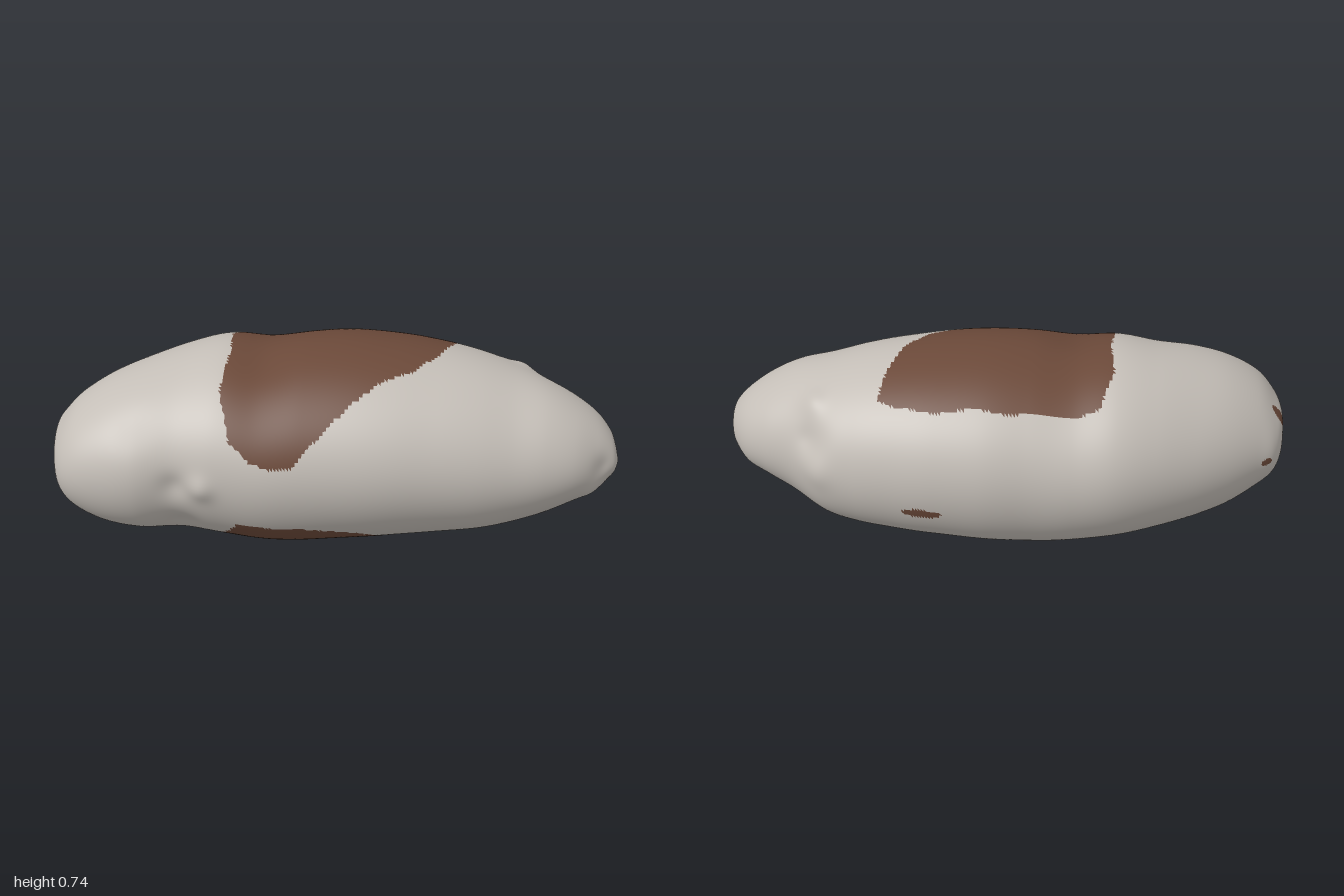
import * as THREE from 'three';

// Cross-sections along the length: x, top y, bottom y, back z, front z
const SECTIONS = [
  [-1, 0.345, 0.345, 0.11, 0.11],
  [-0.99, 0.43, 0.26, 0.01, 0.21],
  [-0.96, 0.48, 0.20, -0.06, 0.31],
  [-0.9, 0.545, 0.145, -0.11, 0.37],
  [-0.8, 0.605, 0.09, -0.185, 0.405],
  [-0.68, 0.65, 0.06, -0.26, 0.417],
  [-0.54, 0.69, 0.045, -0.33, 0.395],
  [-0.4, 0.717, 0.022, -0.38, 0.408],
  [-0.25, 0.71, 0.005, -0.40, 0.412],
  [-0.1, 0.73, 0, -0.41, 0.405],
  [0.06, 0.735, 0.008, -0.427, 0.39],
  [0.22, 0.727, 0.025, -0.42, 0.37],
  [0.36, 0.705, 0.035, -0.40, 0.345],
  [0.5, 0.675, 0.05, -0.375, 0.315],
  [0.62, 0.64, 0.08, -0.335, 0.285],
  [0.74, 0.60, 0.13, -0.25, 0.255],
  [0.84, 0.55, 0.18, -0.2, 0.215],
  [0.92, 0.495, 0.22, -0.145, 0.16],
  [0.97, 0.44, 0.275, -0.075, 0.115],
  [0.99, 0.395, 0.31, -0.01, 0.09],
  [1, 0.35, 0.35, 0.055, 0.055],
];

// Local bumps and dents: x, y, z, radius, height
const BUMPS = [
  [-0.44, 0.36, 0.41, 0.045, 0.018],
  [-0.53, 0.36, 0.39, 0.05, -0.015],
  [-0.52, 0.17, 0.32, 0.07, -0.015],
  [-0.66, 0.52, 0.33, 0.08, -0.008],
  [0.65, 0.57, -0.18, 0.045, 0.015],
  [0.66, 0.48, -0.27, 0.06, -0.02],
  [0.64, 0.38, -0.33, 0.06, 0.012],
  [0.93, 0.37, 0.13, 0.04, -0.014],
  [0.9, 0.28, 0.13, 0.04, 0.01],
  [-0.25, 0.71, 0.1, 0.1, -0.006],
];

// Outlines of the large patches in plan: x, z pairs
const TOP_PATCH = [
  [-0.385, -0.11], [-0.34, -0.24], [-0.26, -0.27], [-0.13, -0.275], [-0.02, -0.295], [0.085, -0.285],
  [0.22, -0.3], [0.37, -0.265], [0.42, -0.24], [0.41, -0.16], [0.355, 0], [0.275, 0.11], [0.165, 0.175],
  [0.06, 0.265], [-0.02, 0.335], [-0.12, 0.393], [-0.2, 0.4], [-0.27, 0.393], [-0.34, 0.365],
  [-0.385, 0.24], [-0.37, 0.05],
];
const BOTTOM_PATCH = [
  [-0.39, 0.27], [-0.38, 0.1], [-0.35, -0.12], [-0.28, -0.2], [-0.15, -0.25], [0, -0.27], [0.15, -0.25],
  [0.28, -0.16], [0.32, -0.05], [0.27, 0.1], [0.2, 0.22], [0.1, 0.295], [0, 0.325], [-0.1, 0.35],
  [-0.25, 0.368], [-0.32, 0.365], [-0.36, 0.32],
];
// Small specks: centre x, y, z and radii x, y, z
const SPECKS = [
  [0.26, 0.28, -0.39, 0.07, 0.02, 0.1],
  [-0.96, 0.44, 0.06, 0.06, 0.045, 0.022],
  [-0.92, 0.34, -0.08, 0.04, 0.015, 0.02],
];

const ALONG = 280, AROUND = 160;

// Smooth interpolation through the section table
function sectionAt(t) {
  const last = SECTIONS.length - 1;
  const k = Math.min(Math.floor(t * last), last - 1), f = t * last - k;
  const row = (n) => SECTIONS[Math.max(0, Math.min(last, n))];
  const [a, b, c, d] = [row(k - 1), row(k), row(k + 1), row(k + 2)];
  return b.map((p, n) => p + 0.5 * f * (c[n] - a[n]
    + f * (2 * a[n] - 5 * p + 4 * c[n] - d[n] + f * (3 * (p - c[n]) + d[n] - a[n]))));
}

function surfacePoint(t, angle) {
  const [x, top, bottom, back, front] = sectionAt(t);
  const s = Math.sin(angle), c = Math.cos(angle);
  const p = new THREE.Vector3(x, (top + bottom) / 2 + (top - bottom) / 2 * s, (front + back) / 2 + (front - back) / 2 * c);
  // Gentle unevenness, fading at both tips, plus the local bumps
  let h = 0.003 * Math.sin(Math.PI * t) * Math.sin(9 * x + 3 * angle) * Math.sin(7 * x - 2 * angle + 1);
  for (const [bx, by, bz, r, amount] of BUMPS) {
    const d2 = (p.x - bx) ** 2 + (p.y - by) ** 2 + (p.z - bz) ** 2;
    h += amount * Math.exp(-d2 / (r * r));
  }
  p.y += h * s;
  p.z += h * c;
  return p;
}

function inside(outline, x, z) {
  let hit = false;
  outline.forEach(([x1, z1], i) => {
    const [x2, z2] = outline[(i + 1) % outline.length];
    if ((z1 > z) !== (z2 > z) && x < x1 + (x2 - x1) * (z - z1) / (z2 - z1)) hit = !hit;
  });
  return hit;
}

function isPatch(p) {
  if (inside(p.y > 0.365 ? TOP_PATCH : BOTTOM_PATCH, p.x, p.z)) return true;
  return SPECKS.some(([x, y, z, a, b, c]) =>
    ((p.x - x) / a) ** 2 + ((p.y - y) / b) ** 2 + ((p.z - z) / c) ** 2 < 1);
}

export function createModel() {
  const model = new THREE.Group();
  model.name = 'boulder';
  const stone = new THREE.MeshStandardMaterial({ color: 0xc4beb7 });
  stone.name = 'pale stone';
  const earth = new THREE.MeshStandardMaterial({ color: 0x6b4939 });
  earth.name = 'brown earth';

  // Rings of points from one tip to the other
  const points = [];
  for (let i = 0; i <= ALONG; i++) {
    for (let j = 0; j < AROUND; j++) points.push(surfacePoint(i / ALONG, j / AROUND * Math.PI * 2));
  }

  // Sort the faces into plain surface and patches
  const stoneFaces = [], earthFaces = [];
  const addFace = (a, b, c) => {
    const mid = points[a].clone().add(points[b]).add(points[c]).divideScalar(3);
    (isPatch(mid) ? earthFaces : stoneFaces).push(a, b, c);
  };
  for (let i = 0; i < ALONG; i++) {
    for (let j = 0; j < AROUND; j++) {
      const a = i * AROUND + j, c = i * AROUND + (j + 1) % AROUND;
      addFace(a, a + AROUND, c);
      addFace(a + AROUND, c + AROUND, c);
    }
  }

  // Both meshes share points and normals, so shading runs smoothly across the border
  const whole = new THREE.BufferGeometry().setFromPoints(points);
  whole.setIndex([...stoneFaces, ...earthFaces]);
  whole.computeVertexNormals();
  const addMesh = (name, faces, material) => {
    const geometry = new THREE.BufferGeometry();
    geometry.setAttribute('position', whole.getAttribute('position'));
    geometry.setAttribute('normal', whole.getAttribute('normal'));
    geometry.setIndex(faces);
    const mesh = new THREE.Mesh(geometry, material);
    mesh.name = name;
    model.add(mesh);
  };
  addMesh('stoneBody', stoneFaces, stone);
  addMesh('brownPatches', earthFaces, earth);
  return model;
}
